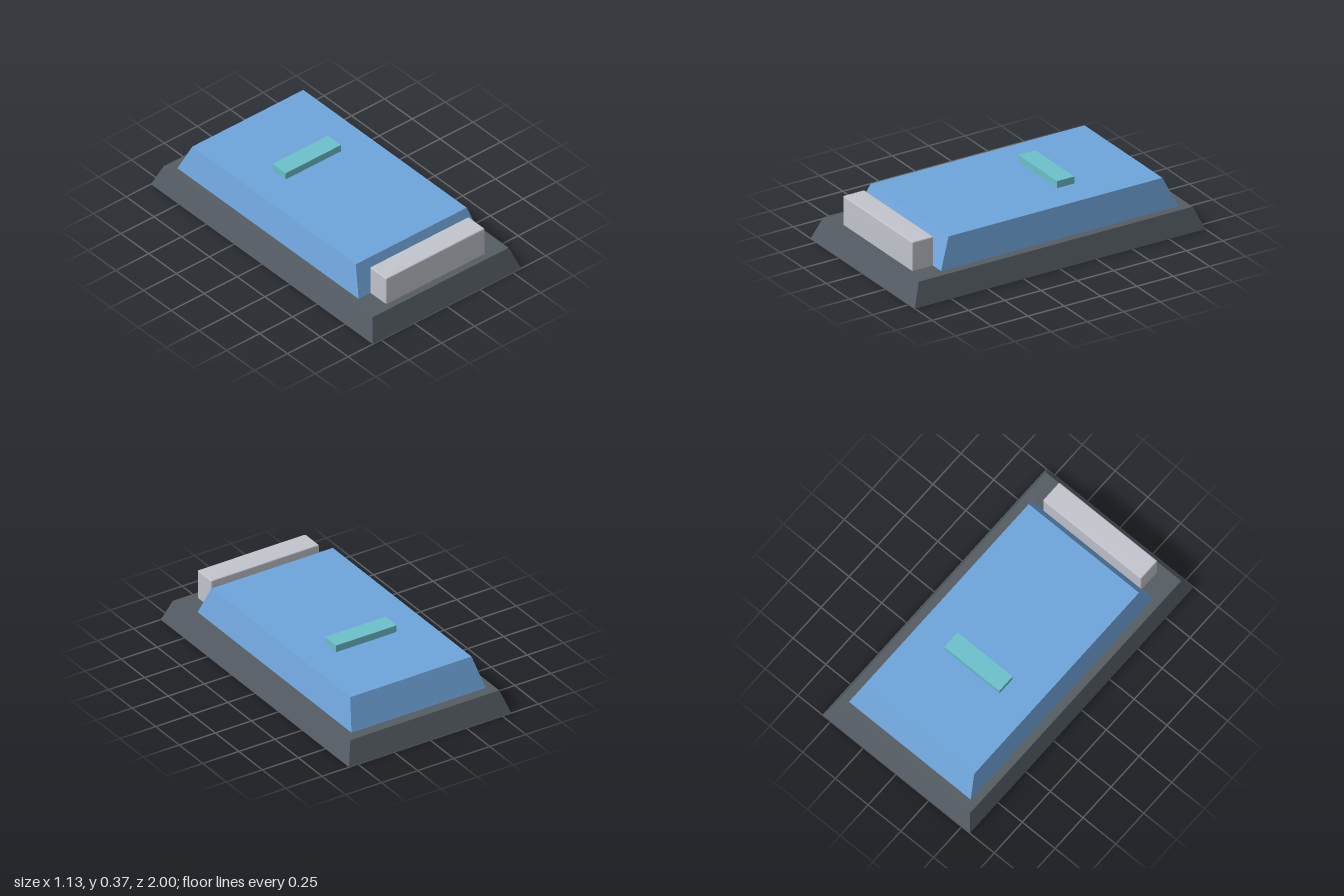
import * as THREE from 'three';
import { mergeVertices } from 'three/addons/utils/BufferGeometryUtils.js';
import { RoundedBoxGeometry } from 'three/addons/geometries/RoundedBoxGeometry.js';

const material = (name, color) => Object.assign(new THREE.MeshStandardMaterial({ color }), { name });

// Box whose top face has its own half width and z range
function taperedBox(y0, y1, bottom, top) {
  const g = new THREE.BoxGeometry(2, 2, 2);
  const p = g.attributes.position;
  for (let i = 0; i < p.count; i++) {
    const up = p.getY(i) > 0;
    const [halfX, zBack, zFront] = up ? top : bottom;
    p.setXYZ(i, Math.sign(p.getX(i)) * halfX, up ? y1 : y0, p.getZ(i) > 0 ? zFront : zBack);
  }
  g.computeVertexNormals();
  return g;
}

// Slightly bevelled block with soft shading running across its faces
function softBlock(w, h, d, radius) {
  const g = new RoundedBoxGeometry(w, h, d, 1, radius);
  g.deleteAttribute('normal');
  g.deleteAttribute('uv');
  g.clearGroups();
  const merged = mergeVertices(g, 1e-4);
  merged.computeVertexNormals();
  return merged;
}

export function createModel() {
  const model = new THREE.Group();
  const add = (name, geometry, mat, x = 0, y = 0, z = 0) => {
    const mesh = new THREE.Mesh(geometry, mat);
    mesh.name = name;
    mesh.position.set(x, y, z);
    model.add(mesh);
  };

  const charcoal = material('charcoal', 0x555d64);
  const blue = material('blue', 0x6fa5db);
  const teal = material('teal', 0x6cc0ca);
  const silver = material('silver', 0xc2c5cd);

  // Sloped base
  add('base', taperedBox(0, 0.14, [0.563, -1, 1], [0.516, -0.943, 0.943]), charcoal);
  // Sloped upper slab
  add('upperSlab', taperedBox(0.14, 0.325, [0.465, -0.877, 0.757], [0.421, -0.795, 0.678]), blue);
  // Upright block at the front, sunk slightly into the base
  add('frontBlock', softBlock(0.75, 0.205, 0.148, 0.008), silver, 0, 0.2225, 0.824);
  // Raised bar on the slab
  add('topBar', new THREE.BoxGeometry(0.42, 0.045, 0.118), teal, 0, 0.3475, -0.264);

  return model;
}
